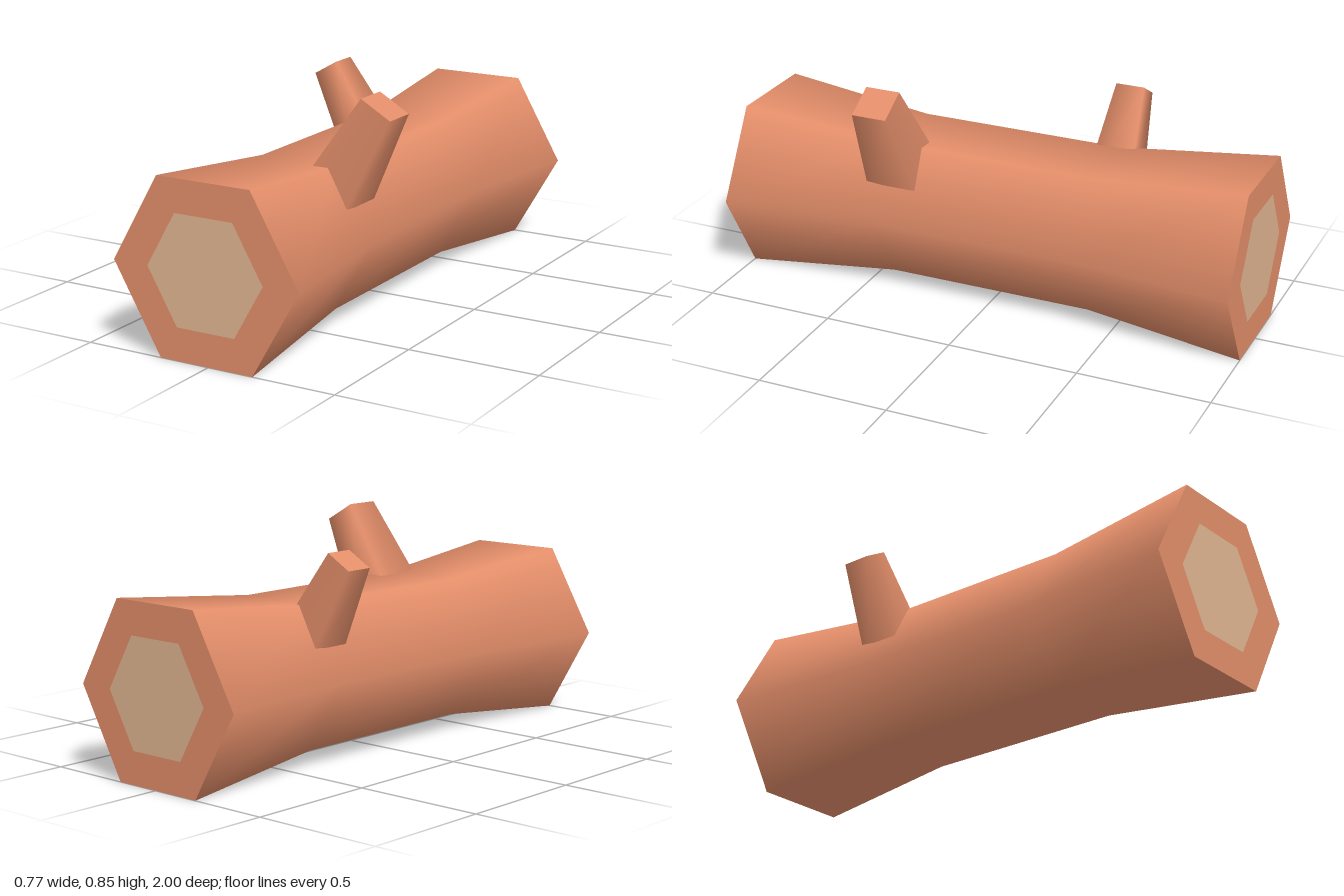
import * as THREE from 'three';

const bark = new THREE.MeshStandardMaterial({ color: 0xe28d69 });
const wood = new THREE.MeshStandardMaterial({ color: 0xe0b590 });

const SIDES = 6;
const END_R = 0.375, WAIST_R = 0.307, CORE_R = 0.234;

function addMesh(parent, name, geometry, material) {
  const mesh = new THREE.Mesh(geometry, material);
  mesh.name = name;
  parent.add(mesh);
  return mesh;
}

// Tapered square stub; its tip centre is given and its base is buried in the log
function addBranch(parent, name, tip, tilt, tipHalf, baseHalf, length) {
  const geo = new THREE.CylinderGeometry(tipHalf * Math.SQRT2, baseHalf * Math.SQRT2, length, 4);
  geo.rotateY(Math.PI / 4);
  geo.translate(0, -length / 2, 0);
  const branch = addMesh(parent, name, geo, bark);
  branch.position.set(...tip);
  branch.rotation.z = tilt;
}

export function createModel() {
  const model = new THREE.Group();
  model.name = 'log';

  // Hexagonal trunk lying along z, narrower in the middle
  const trunk = new THREE.Group();
  trunk.name = 'trunk';
  trunk.position.set(-0.009, 0.326, 0);
  model.add(trunk);

  const profile = [[END_R, -1], [WAIST_R, -0.4], [WAIST_R, 0.4], [END_R, 1]]
    .map(([r, y]) => new THREE.Vector2(r, y));
  const barkGeo = new THREE.LatheGeometry(profile, SIDES, Math.PI / 2);
  barkGeo.rotateX(Math.PI / 2);
  addMesh(trunk, 'barkSides', barkGeo, bark);

  // Cut ends: bark rim around a pale core
  for (const [end, z, turn] of [['front', 1, 0], ['back', -1, Math.PI]]) {
    const rim = addMesh(trunk, end + 'Rim', new THREE.RingGeometry(CORE_R, END_R, SIDES), bark);
    const core = addMesh(trunk, end + 'Core', new THREE.CircleGeometry(CORE_R, SIDES), wood);
    for (const part of [rim, core]) {
      part.position.z = z;
      part.rotation.y = turn;
    }
  }

  // Two cut-off branches
  addBranch(model, 'leftBranch', [0.325, 0.821, 0.365], -Math.PI / 6, 0.067, 0.11, 0.5);
  addBranch(model, 'rightBranch', [-0.336, 0.763, -0.383], Math.PI / 6, 0.055, 0.092, 0.45);

  return model;
}
